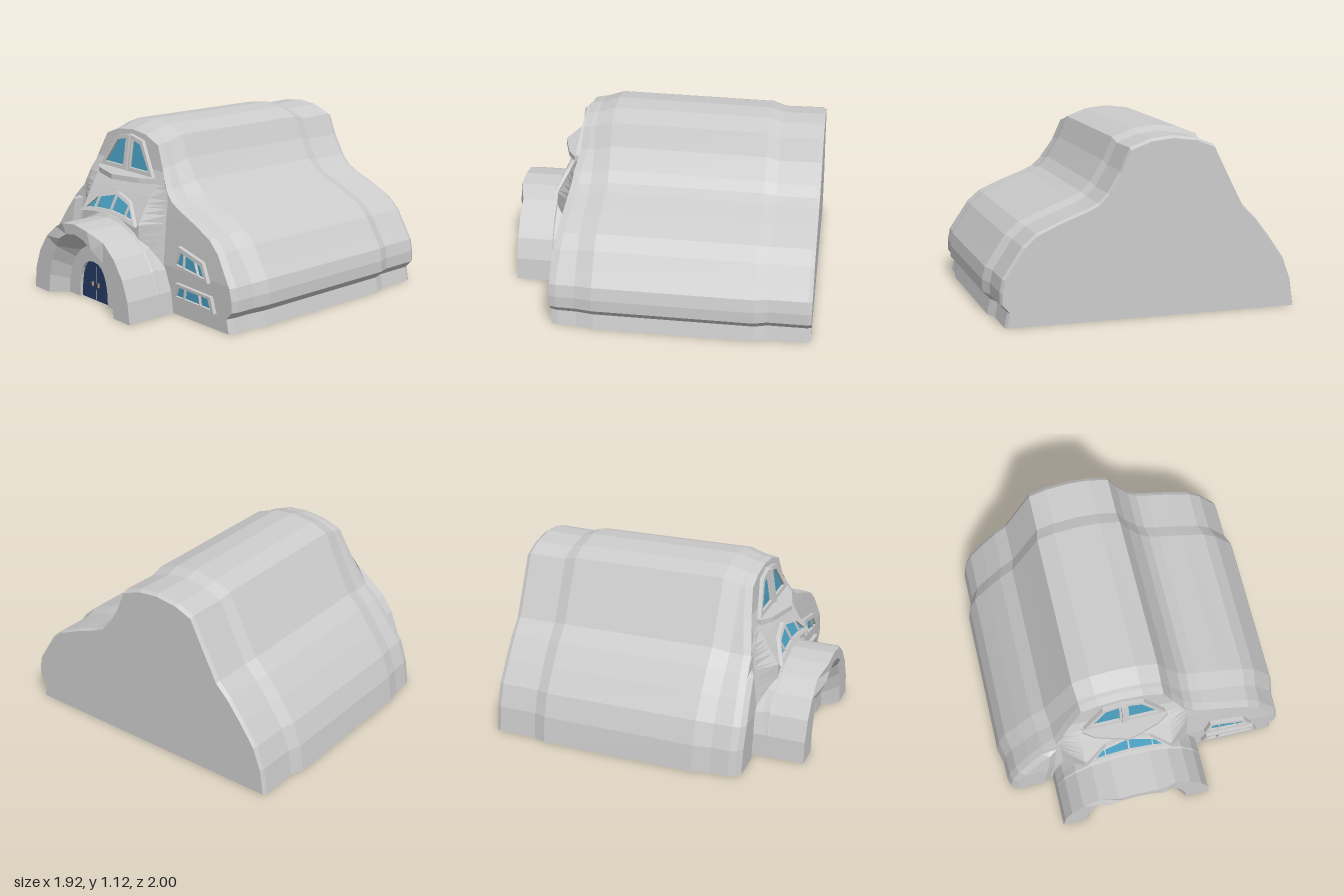
import * as THREE from 'three';

const CX = -0.13; // axis of the entrance
const V = (x, y, z) => new THREE.Vector3(x, y, z);
const mat = (color = 0xcccccc) =>
  new THREE.MeshStandardMaterial({ color, flatShading: true, side: THREE.DoubleSide });

// Hull cross-section, from bottom left over the peak to bottom right
const PROFILE = [
  [-0.965, 0], [-0.94, 0.17], [-0.887, 0.315], [-0.79, 0.455], [-0.69, 0.585], [-0.6, 0.675],
  [-0.5, 0.87], [-0.405, 1.06], [-0.29, 1.105], [-0.135, 1.125], [0.005, 1.11], [0.14, 1.06],
  [0.2, 0.92], [0.28, 0.79], [0.34, 0.73], [0.41, 0.695], [0.57, 0.635], [0.73, 0.565],
  [0.815, 0.49], [0.89, 0.375], [0.94, 0.3], [0.957, 0.22], [0.957, 0.145], [0.91, 0.095], [0.93, 0],
];
const PEAK = 9;
const FRONT_SCALE = 0.958;

// Piecewise linear lookup in [key, value] pairs with rising keys
function lerpTable(table, k) {
  if (k <= table[0][0]) return table[0][1];
  for (let i = 1; i < table.length; i++) {
    const [a, va] = table[i - 1], [b, vb] = table[i];
    if (k <= b) return va + ((vb - va) * (k - a)) / (b - a || 1);
  }
  return table[table.length - 1][1];
}

const edgeZ = (y) => lerpTable([[0, 0.62], [0.3, 0.625], [0.6, 0.6], [0.78, 0.578], [0.86, 0.55], [1.08, 0.53]], y);
const ridgeZ = (y) => lerpTable([[0, 0.72], [0.54, 0.72], [0.7, 0.63], [0.78, 0.578], [0.86, 0.55], [1.08, 0.53]], y);
const facadeZ = (x, y) => {
  const w = THREE.MathUtils.clamp((0.42 - Math.abs(x - CX)) / 0.13, 0, 1);
  return edgeZ(y) + (ridgeZ(y) - edgeZ(y)) * w;
};

// Surface through rows of points of equal length
function loft(rows) {
  const pos = [];
  const tri = (a, b, c) => {
    const area = b.clone().sub(a).cross(c.clone().sub(a)).length();
    if (area > 1e-7) for (const p of [a, b, c]) pos.push(p.x, p.y, p.z);
  };
  for (let i = 0; i + 1 < rows.length; i++) {
    for (let j = 0; j + 1 < rows[i].length; j++) {
      const a = rows[i][j], b = rows[i][j + 1], c = rows[i + 1][j + 1], d = rows[i + 1][j];
      tri(a, b, c);
      tri(a, c, d);
    }
  }
  const g = new THREE.BufferGeometry();
  g.setAttribute('position', new THREE.Float32BufferAttribute(pos, 3));
  g.computeVertexNormals();
  return g;
}

const shapeOf = (pts) => new THREE.Shape(pts.map(([x, y]) => new THREE.Vector2(x, y)));

// Moves each vertex forward by a depth rule
function follow(geometry, rule) {
  const p = geometry.attributes.position;
  for (let i = 0; i < p.count; i++) p.setZ(i, p.getZ(i) + rule(p.getX(i), p.getY(i)));
  geometry.computeVertexNormals();
  return geometry;
}

function arch(rx, ry, power = 2, n = 12) {
  return Array.from({ length: n + 1 }, (_, i) => {
    const a = Math.PI * (1 - i / n), c = Math.cos(a), s = Math.max(0, Math.sin(a));
    return [CX + rx * Math.sign(c) * Math.abs(c) ** (2 / power), ry * s ** (2 / power)];
  });
}

export function createModel() {
  const group = new THREE.Group();
  const grey = mat(), glass = mat(0x4a9fc0), paleGlass = mat(0xc4e6f2);
  const add = (name, geometry, material = grey, parent = group) => {
    const m = new THREE.Mesh(geometry, material);
    m.name = name;
    parent.add(m);
    return m;
  };

  // Long vaulted hull with raised middle section
  const section = (s, z, sy = s) => PROFILE.map(([x, y]) => V(x * s, y * sy, z(y * sy)));
  add('hull', loft([
    section(0.955, () => -1), section(0.968, () => -0.975), section(0.968, () => -0.73, 0.965),
    section(1, () => -0.65, 0.988), section(1, () => 0.35), section(0.975, () => 0.46, 0.968),
    section(0.972, (y) => edgeZ(y) - 0.045, 0.966), section(FRONT_SCALE, edgeZ),
  ]));
  const back = add('backWall', new THREE.ShapeGeometry(shapeOf(PROFILE.map(([x, y]) => [-x * 0.955, y * 0.955]))));
  back.rotation.y = Math.PI;
  back.position.z = -1;

  // Faceted front wall, bulging in the middle, with a raised left-hand wing
  const scaled = PROFILE.map(([x, y]) => [y * FRONT_SCALE, x * FRONT_SCALE]);
  const leftSide = scaled.slice(0, PEAK + 1), rightSide = scaled.slice(PEAK).reverse();
  const levels = [...new Set([...scaled.map((p) => p[0]), 0.3, 0.54, 0.7, 0.78, 0.86])].sort((a, b) => a - b);
  add('frontWall', loft(levels.map((y) => {
    const xl = lerpTable(leftSide, y), xr = lerpTable(rightSide, y);
    const crease = -0.7 + 0.13 * y;
    const cols = [xl, xl + 0.035, crease, crease + 0.05, CX - 0.42, CX - 0.29, CX, CX + 0.29, CX + 0.42, xr];
    let last = xl;
    return cols.map((c, i) => {
      const x = (last = Math.max(last, Math.min(xr, c)));
      const wing = (i === 1 || i === 2) && y < 0.6 && x <= crease + 0.001 ? 0.028 : 0;
      return V(x, y, facadeZ(x, y) + wing);
    });
  })));

  // Windows: raised frame with openings and glass behind
  function addWindow(name, outer, panes, plane, depth = 0.025) {
    const unit = new THREE.Group();
    unit.name = name;
    group.add(unit);
    const frame = shapeOf(outer);
    frame.holes = panes.map((p) => new THREE.Path(p.map(([x, y]) => new THREE.Vector2(x, y))));
    add('frame', follow(new THREE.ExtrudeGeometry(frame, { depth, bevelEnabled: false }), plane), grey, unit);
    panes.forEach((p) => add('glass', follow(new THREE.ShapeGeometry(shapeOf(p)), (x, y) => plane(x, y) + 0.008), glass, unit));
  }
  const topPlane = (x, y) => 0.568 - 0.15 * (y - 0.82);
  addWindow('upperWindow',
    [[-0.39, 0.82], [0.14, 0.82], [0.005, 1.025], [-0.125, 1.05], [-0.255, 1.025]],
    [[[-0.345, 0.845], [-0.155, 0.845], [-0.155, 1.02], [-0.24, 1.0]],
      [[-0.095, 0.845], [0.1, 0.845], [-0.01, 1.0], [-0.095, 1.02]]], topPlane);
  add('upperMullion', follow(new THREE.BoxGeometry(0.03, 0.22, 0.05).translate(-0.125, 0.935, 0.015), topPlane));
  const midPlane = (x, y) => 0.722 - 0.5625 * (y - 0.54);
  addWindow('middleWindow',
    [[-0.415, 0.53], [-0.27, 0.55], [-0.125, 0.56], [0.02, 0.55], [0.16, 0.53], [0.02, 0.655], [-0.125, 0.69], [-0.27, 0.655]],
    [[[-0.365, 0.558], [-0.285, 0.57], [-0.285, 0.632], [-0.295, 0.63]],
      [[-0.278, 0.571], [-0.13, 0.58], [-0.13, 0.672], [-0.278, 0.634]],
      [[-0.12, 0.58], [0.025, 0.571], [0.025, 0.634], [-0.12, 0.672]],
      [[0.032, 0.57], [0.112, 0.558], [0.042, 0.63], [0.032, 0.632]]], midPlane);
  const sidePlane = (x, y) => edgeZ(y) + 0.002;
  addWindow('sideWindowUpper', [[0.41, 0.32], [0.735, 0.285], [0.675, 0.4], [0.445, 0.45]],
    [[[0.435, 0.335], [0.5, 0.328], [0.5, 0.412], [0.465, 0.42]],
      [[0.506, 0.327], [0.635, 0.313], [0.6, 0.389], [0.506, 0.411]],
      [[0.642, 0.312], [0.7, 0.306], [0.66, 0.375], [0.607, 0.387]]], sidePlane);
  addWindow('sideWindowLower', [[0.4, 0.105], [0.785, 0.105], [0.755, 0.205], [0.43, 0.215]],
    [[[0.43, 0.13], [0.505, 0.13], [0.515, 0.193], [0.455, 0.195]],
      [[0.512, 0.13], [0.655, 0.128], [0.645, 0.191], [0.522, 0.193]],
      [[0.662, 0.128], [0.755, 0.126], [0.73, 0.19], [0.652, 0.191]]], sidePlane);

  // Pointed balcony under the upper window
  const slab = new THREE.ExtrudeGeometry(
    shapeOf([[-0.4, 0.54], [0.155, 0.54], [0.155, 0.6], [0.08, 0.65], [-0.12, 0.71], [-0.33, 0.65], [-0.4, 0.6]]),
    { depth: 0.033, bevelEnabled: false });
  add('balcony', slab.rotateX(Math.PI / 2).translate(0, 0.815, 0));

  // Arched porch: outside, hooded front, splayed reveal and door surround
  const ring = (rx, ry, z, power) => arch(rx, ry, power).map(([x, y]) => V(x, y, z));
  const hooded = (rx, ry) => ring(rx, ry, 0.965).map((p) => {
    if (p.y > 0.4 && Math.abs(p.x - CX) < 0.2) p.z = 1;
    return p;
  });
  add('porch', loft([
    ring(0.505, 0.535, 0.6), hooded(0.505, 0.535), hooded(0.345, 0.47),
    ring(0.265, 0.365, 0.86), ring(0.148, 0.265, 0.86, 2.5), ring(0.148, 0.265, 0.835, 2.5),
  ]));

  // Trim strip where the porch meets the front wall
  add('porchTrim', loft([ring(0.5, 0.53, 0.74), ring(0.505, 0.552, 0.725), ring(0.5, 0.555, 0.68)]));

  // Double door with handles
  const doorHalf = arch(0.148, 0.265, 2.5).filter(([x]) => x <= CX + 0.001).map(([x, y]) => [x - CX, y]);
  for (const side of [1, -1]) {
    const pts = [...doorHalf.map(([x, y]) => [Math.min(x, -0.002) * side, y]), [-0.002 * side, 0]];
    const leaf = add(side > 0 ? 'doorRight' : 'doorLeft', new THREE.ShapeGeometry(shapeOf(pts)), mat(0x253a66));
    leaf.position.set(CX, 0, 0.838);
    const handle = add('doorHandle', new THREE.BoxGeometry(0.009, 0.028, 0.012), mat(0xb59a6a));
    handle.position.set(CX + side * 0.03, 0.108, 0.844);
  }

  // Rounded floor with a tongue reaching the door
  const SEG = 16;
  const rim = Array.from({ length: SEG }, (_, i) => {
    const a = ((i + 0.5) / SEG) * Math.PI * 2, c = Math.cos(a), s = Math.sin(a);
    return [-0.145 + 0.53 * Math.sign(c) * Math.abs(c) ** 0.85, -0.125 + 0.79 * Math.sign(s) * Math.abs(s) ** 0.85];
  });
  const floor = new THREE.ShapeGeometry(shapeOf(rim)).rotateX(Math.PI / 2);
  add('floor', floor.translate(0, 0.003, 0));
  add('floorTongue', new THREE.BoxGeometry(0.3, 0.004, 0.25).translate(CX, 0.002, 0.71));

  // Inner room wall, glazed on most sides
  const loop = [...rim, rim[0]];
  add('roomWall', loft([0, 0.4].map((y) => loop.map(([x, z]) => V(x, y, z)))));
  for (let i = 0; i < SEG; i++) {
    if (i === 0 || i === 3 || i === 7 || i === 15) continue;
    const [ax, az] = loop[i], [bx, bz] = loop[i + 1];
    const len = Math.hypot(bx - ax, bz - az);
    const panel = new THREE.Group();
    panel.name = 'roomWindow';
    panel.position.set((ax + bx) / 2, 0, (az + bz) / 2);
    panel.rotation.y = -Math.atan2(bz - az, bx - ax);
    for (const col of [-1, 1]) for (const row of [0, 1, 2]) {
      const pane = add('pane', new THREE.BoxGeometry(len * 0.43, 0.105, 0.008), paleGlass, panel);
      pane.position.set(col * len * 0.235, 0.075 + row * 0.12, 0);
    }
    group.add(panel);
  }
  return group;
}
